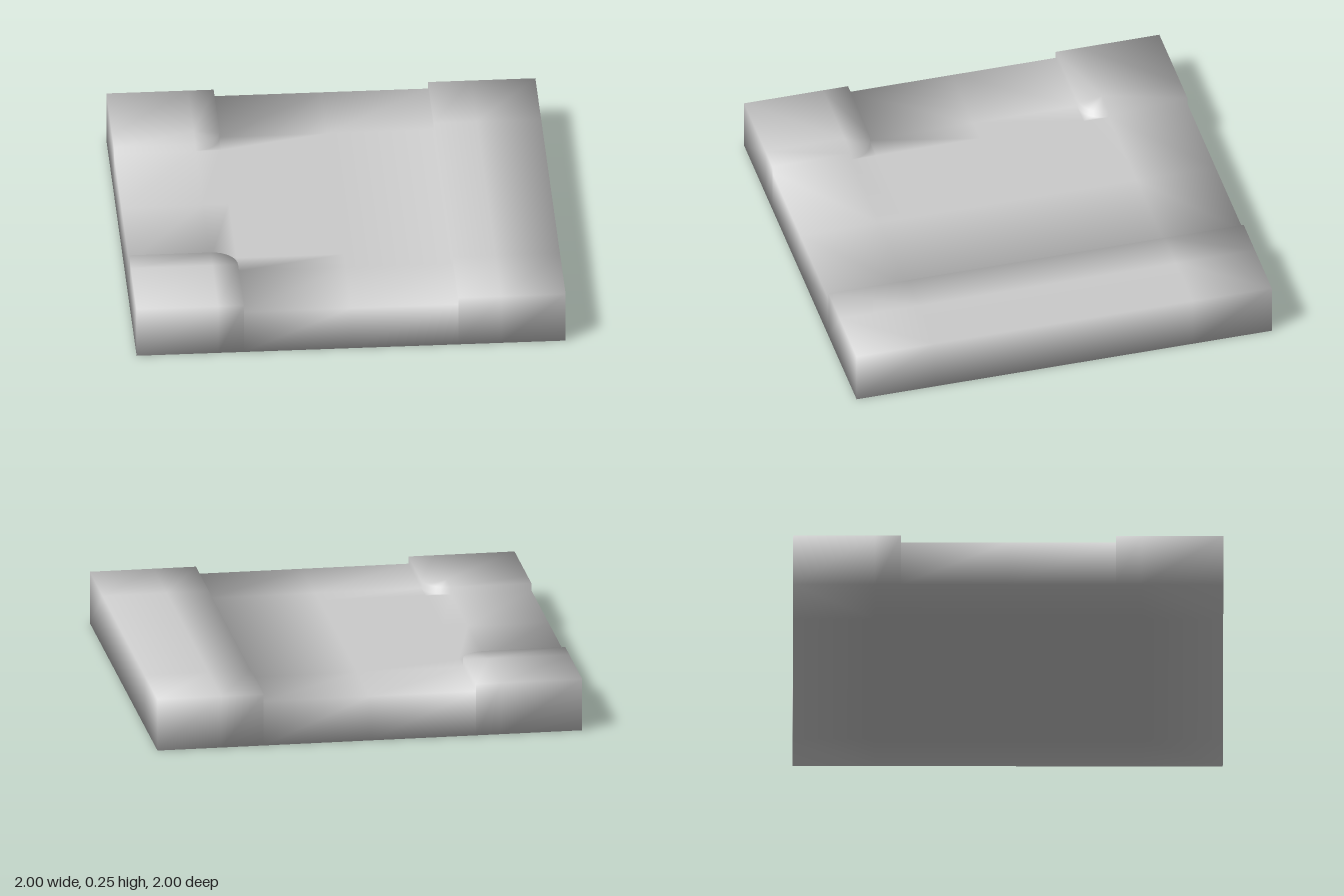
import * as THREE from 'three';

// A road tile with a T junction: sunken road, one long pavement, two rounded corner pavements.
const ROAD_Y = 0.215, PAVEMENT_Y = 0.25;
const EDGE = 0.5, RADIUS = 0.12, C = 0.62; // kerb line, corner radius, arc centre
const XS = [-1, -C, -EDGE, 0, EDGE, 0.7, 1];
const ZS = [-1, -C, -EDGE, 0, EDGE, C, 1];

export function createModel() {
  const parts = { road: [], pavement: [], kerb: [], sideWall: [], underside: [] };
  const v = ([x, z], y) => new THREE.Vector3(x, y, z);
  const tri = (part, a, b, c) => parts[part].push(a, b, c);
  const quad = (part, a, b, c, d) => { tri(part, a, b, c); tri(part, a, c, d); };

  // Upright faces along a path, facing right of the walking direction seen from above
  const wall = (part, path, y0, y1) => {
    for (let i = 0; i + 1 < path.length; i++) {
      const p = path[i], q = path[i + 1];
      const y = typeof y1 === 'function' ? y1((p[0] + q[0]) / 2, (p[1] + q[1]) / 2) : y1;
      quad(part, v(p, y0), v(q, y0), v(q, y), v(p, y));
    }
  };

  const isPavement = (x, z) => x > EDGE || (x < -EDGE && Math.abs(z) > EDGE);

  // Road and pavement tops, and the underside, on one shared grid
  for (let i = 0; i + 1 < XS.length; i++) {
    for (let j = 0; j + 1 < ZS.length; j++) {
      const [x0, x1, z0, z1] = [XS[i], XS[i + 1], ZS[j], ZS[j + 1]];
      const corners = [[x0, z1], [x1, z1], [x1, z0], [x0, z0]];
      quad('underside', ...corners.map((p) => v(p, 0)).reverse());
      const roundedCell = i === 1 && (j === 1 || j === 4);
      if (roundedCell) continue;
      const raised = isPavement((x0 + x1) / 2, (z0 + z1) / 2);
      quad(raised ? 'pavement' : 'road', ...corners.map((p) => v(p, raised ? PAVEMENT_Y : ROAD_Y)));
    }
  }

  // Rounded corner pavements with their kerbs, mirrored front to back
  for (const side of [-1, 1]) {
    let arc = [];
    for (let i = 0; i <= 8; i++) {
      const t = (i / 8) * Math.PI / 2;
      arc.push([-C + RADIUS * Math.sin(t), side * (C - RADIUS * Math.cos(t))]);
    }
    let path = [[-1, side * EDGE], ...arc, [-EDGE, side]];
    if (side > 0) { arc = arc.reverse(); path = path.reverse(); }
    for (let i = 0; i < 8; i++) {
      tri('pavement', v([-C, side * C], PAVEMENT_Y), v(arc[i], PAVEMENT_Y), v(arc[i + 1], PAVEMENT_Y));
      tri('road', v([-EDGE, side * EDGE], ROAD_Y), v(arc[i + 1], ROAD_Y), v(arc[i], ROAD_Y));
    }
    wall('kerb', path, ROAD_Y, PAVEMENT_Y);
  }

  // Straight kerb of the long pavement
  wall('kerb', ZS.map((z) => [EDGE, z]), ROAD_Y, PAVEMENT_Y);

  // Outer walls, rising to whichever surface they meet
  const top = (x, z) => (isPavement(x, z) ? PAVEMENT_Y : ROAD_Y);
  wall('sideWall', XS.map((x) => [x, 1]), 0, top);
  wall('sideWall', ZS.map((z) => [1, z]).reverse(), 0, top);
  wall('sideWall', XS.map((x) => [x, -1]).reverse(), 0, top);
  wall('sideWall', ZS.map((z) => [-1, z]), 0, top);

  // Soft shading: normals shared across all parts, weighted by corner angle
  const normals = new Map();
  const key = (p) => p.toArray().map((n) => n.toFixed(3)).join();
  for (const points of Object.values(parts)) {
    for (let i = 0; i < points.length; i += 3) {
      const t = points.slice(i, i + 3);
      const n = new THREE.Triangle(...t).getNormal(new THREE.Vector3());
      t.forEach((p, k) => {
        const a = t[(k + 1) % 3].clone().sub(p), b = t[(k + 2) % 3].clone().sub(p);
        if (!normals.has(key(p))) normals.set(key(p), new THREE.Vector3());
        normals.get(key(p)).addScaledVector(n, a.angleTo(b));
      });
    }
  }
  normals.forEach((n) => n.normalize());

  const group = new THREE.Group();
  group.name = 'roadTile';
  const material = new THREE.MeshStandardMaterial({ color: 0xcccccc });
  for (const [name, points] of Object.entries(parts)) {
    const geometry = new THREE.BufferGeometry().setFromPoints(points);
    const flat = points.flatMap((p) => normals.get(key(p)).toArray());
    geometry.setAttribute('normal', new THREE.Float32BufferAttribute(flat, 3));
    const mesh = new THREE.Mesh(geometry, material);
    mesh.name = name;
    group.add(mesh);
  }
  return group;
}
